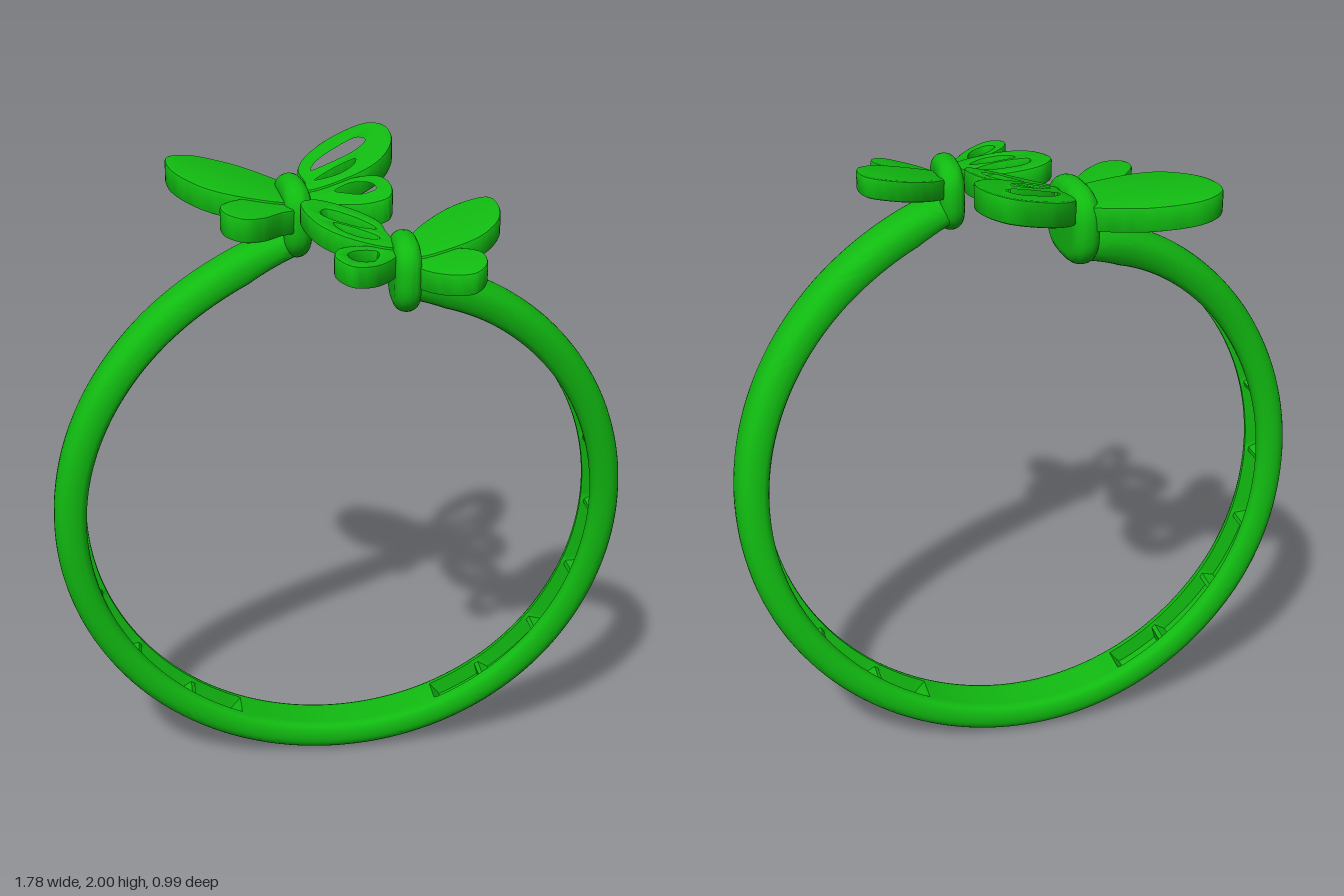
import * as THREE from 'three';
import { toCreasedNormals } from 'three/addons/utils/BufferGeometryUtils.js';

const material = new THREE.MeshStandardMaterial({ color: 0x11bb11 });

function mesh(name, geometry, crease = 0.6) {
  const m = new THREE.Mesh(toCreasedNormals(geometry, crease), material);
  m.name = name;
  return m;
}

// smooth closed outline through [x, z] pairs, laid out for extrusion along y
function outline(points) {
  const curve = new THREE.CatmullRomCurve3(points.map(([x, z]) => new THREE.Vector3(x, -z, 0)), true);
  return curve.getPoints(48).slice(0, -1).map(p => new THREE.Vector2(p.x, p.y));
}

// smooth interpolation of [angle, value] keys
function keyed(keys, a) {
  let i = 0;
  while (i < keys.length - 2 && a > keys[i + 1][0]) i++;
  const slope = k => {
    const p = keys[Math.max(k - 1, 0)], q = keys[Math.min(k + 1, keys.length - 1)];
    return k === 0 ? 0 : (q[1] - p[1]) / (q[0] - p[0]);
  };
  const [a0, v0] = keys[i], [a1, v1] = keys[i + 1], h = a1 - a0, t = (a - a0) / h;
  return v0 * (1 + 2 * t) * (1 - t) ** 2 + v1 * t * t * (3 - 2 * t)
    + h * slope(i) * t * (1 - t) ** 2 + h * slope(i + 1) * t * t * (t - 1);
}

// z drift of the two arms, by angle from the bottom of the ring
const frontArm = [[0, -0.06], [55, -0.025], [90, 0.02], [120, 0.08], [145, 0.15], [160, 0.21], [172, 0.27]];
const backArm = [[0, -0.06], [55, -0.025], [90, 0.01], [120, 0.02], [140, -0.01], [155, -0.06], [172, -0.16]];

// inner channel, interrupted by cross bars
function channelDepth(a) {
  if (a < 25 || a > 163) return 0;
  return (a - 19) % 17 < 2 ? 0.012 : 0.05;
}

// band section as [radius, z] pairs: rounded outside, channelled inside
function bandSection(a) {
  const pts = [], d = channelDepth(a), ri = 0.79 + 0.02 * Math.max(0, (a - 160) / 12);
  for (let k = 0; k <= 18; k++) {
    const t = (k / 18 - 0.5) * Math.PI, s = Math.sin(t);
    pts.push([0.83 + 0.06 * Math.pow(Math.abs(Math.cos(t)), 0.8),
      0.08 * Math.sign(s) * Math.pow(Math.abs(s), 0.8)]);
  }
  pts.push([ri + 0.018, 0.078], [ri + 0.005, 0.07], [ri, 0.058], [ri, 0.046], [ri + d, 0.043],
    [ri + d, -0.043], [ri, -0.046], [ri, -0.058], [ri + 0.005, -0.07], [ri + 0.018, -0.078]);
  return pts;
}

function createBand() {
  const pos = [], idx = [], start = -172, end = 170, rows = end - start;
  let n = 0;
  for (let deg = start; deg <= end; deg++) {
    const a = Math.abs(deg), t = deg * Math.PI / 180;
    const z0 = keyed(deg > 0 ? frontArm : backArm, a), section = bandSection(a);
    n = section.length;
    for (const [r, z] of section) pos.push(r * Math.sin(t), 0.89 - r * Math.cos(t), z0 + z);
  }
  for (let i = 0; i < rows; i++) {
    for (let j = 0; j < n; j++) {
      const k = (j + 1) % n, p = i * n, q = p + n;
      idx.push(p + j, q + j, p + k, q + j, q + k, p + k);
    }
  }
  const last = rows * n;
  for (let j = 1; j < n - 1; j++) idx.push(0, j, j + 1, last, last + j + 1, last + j);
  const g = new THREE.BufferGeometry();
  g.setAttribute('position', new THREE.Float32BufferAttribute(pos, 3));
  g.setIndex(idx);
  return mesh('band', g, 0.7);
}

// flat wing panel lying on the plane y = y0 + sx (x - x0) + sz (z - z0)
function wing(name, points, holes, thickness, { y0, x0, z0, sx, sz }, drop = 0) {
  const shape = new THREE.Shape(outline(points));
  for (const h of holes) shape.holes.push(new THREE.Path(outline(h)));
  const bevel = 0.008;
  const g = new THREE.ExtrudeGeometry(shape, {
    depth: thickness - 2 * bevel, bevelEnabled: true, bevelSize: bevel,
    bevelThickness: bevel, bevelOffset: -bevel, bevelSegments: 2,
  });
  g.translate(0, 0, bevel - thickness / 2 - drop);
  g.rotateX(-Math.PI / 2);
  const p = g.attributes.position;
  for (let i = 0; i < p.count; i++) {
    p.setY(i, p.getY(i) + y0 + sx * (p.getX(i) - x0) + sz * (p.getZ(i) - z0));
  }
  return mesh(name, g);
}

// upright, fully rounded body between the wings
function body(length, height, width, position, yaw) {
  const r = width / 2, pts = [];
  const power = v => Math.sign(v) * Math.pow(Math.abs(v), 0.75);
  for (let k = 0; k < 40; k++) {
    const t = k / 40 * Math.PI * 2;
    pts.push(new THREE.Vector2(power(Math.cos(t)) * length / 2, power(Math.sin(t)) * height / 2));
  }
  const g = new THREE.ExtrudeGeometry(new THREE.Shape(pts), {
    depth: 0.004, bevelEnabled: true, bevelSize: r, bevelThickness: r, bevelOffset: -r, bevelSegments: 6,
  });
  g.translate(0, 0, -0.002);
  g.rotateY(-Math.PI / 2);
  const m = mesh('butterflyBody', g, 0.9);
  m.position.set(...position);
  m.rotation.y = yaw;
  return m;
}

function createBackButterfly() {
  const group = new THREE.Group();
  group.name = 'backButterfly';
  const solid = { y0: 1.83, x0: -0.13, z0: -0.17, sx: -0.16, sz: -0.05 };
  const open = { y0: 1.85, x0: -0.1, z0: -0.17, sx: 0.25, sz: -0.15 };
  group.add(
    body(0.28, 0.24, 0.078, [-0.12, 1.8, -0.17], 0.07),
    wing('solidForewing', [[-0.13, -0.27], [-0.19, -0.34], [-0.28, -0.41], [-0.41, -0.45], [-0.48, -0.41],
      [-0.49, -0.32], [-0.46, -0.22], [-0.38, -0.12], [-0.27, -0.08], [-0.13, -0.09]], [], 0.075, solid),
    wing('solidHindwing', [[-0.12, -0.13], [-0.28, -0.09], [-0.35, 0], [-0.34, 0.07], [-0.29, 0.1],
      [-0.23, 0.07], [-0.17, 0], [-0.12, -0.05]], [], 0.075, solid, 0.008),
    wing('openForewing', [[-0.08, -0.19], [-0.09, -0.29], [-0.06, -0.37], [0.03, -0.46], [0.15, -0.5],
      [0.2, -0.45], [0.21, -0.33], [0.16, -0.21], [0.08, -0.15], [-0.08, -0.13]], [
      [[-0.06, -0.25], [-0.04, -0.31], [0.04, -0.38], [0.11, -0.41], [0.14, -0.37], [0.1, -0.31], [0.02, -0.27]],
      [[-0.06, -0.18], [0, -0.23], [0.09, -0.26], [0.08, -0.21], [0.02, -0.17]],
    ], 0.075, open),
    wing('openHindwing', [[-0.1, -0.14], [0.05, -0.15], [0.13, -0.12], [0.16, -0.03], [0.14, 0.05],
      [0.07, 0.05], [-0.01, 0], [-0.1, -0.06]], [
      [[-0.01, -0.09], [0.05, -0.12], [0.11, -0.08], [0.12, -0.02], [0.07, -0.01], [0.02, -0.05]],
    ], 0.075, open, 0.008),
  );
  return group;
}

function createFrontButterfly() {
  const group = new THREE.Group();
  group.name = 'frontButterfly';
  const solid = { y0: 1.78, x0: 0.17, z0: 0.28, sx: 0.22, sz: -0.13 };
  const open = { y0: 1.8, x0: 0.14, z0: 0.28, sx: -0.2, sz: -0.1 };
  group.add(
    body(0.24, 0.22, 0.072, [0.148, 1.755, 0.28], -0.04),
    wing('solidForewing', [[0.17, 0.2], [0.24, 0.11], [0.34, 0.05], [0.43, 0.05], [0.45, 0.12],
      [0.43, 0.22], [0.37, 0.29], [0.29, 0.32], [0.17, 0.32]], [], 0.065, solid),
    wing('solidHindwing', [[0.17, 0.28], [0.29, 0.31], [0.35, 0.37], [0.35, 0.45], [0.31, 0.49],
      [0.24, 0.46], [0.17, 0.37]], [], 0.065, solid, 0.008),
    wing('openForewing', [[0.11, 0.19], [0.1, 0.12], [0.03, 0.05], [-0.07, 0.02], [-0.12, 0.06],
      [-0.12, 0.14], [-0.08, 0.24], [0, 0.3], [0.12, 0.31]], [
      [[0.08, 0.18], [0.03, 0.12], [-0.05, 0.09], [-0.07, 0.13], [-0.03, 0.17], [0.03, 0.19]],
      [[0.08, 0.25], [0.03, 0.21], [-0.04, 0.19], [-0.02, 0.24], [0.04, 0.27]],
    ], 0.065, open),
    wing('openHindwing', [[0.13, 0.3], [0.03, 0.31], [-0.05, 0.36], [-0.07, 0.43], [-0.03, 0.48],
      [0.03, 0.46], [0.1, 0.38]], [
      [[0.06, 0.34], [0, 0.36], [-0.03, 0.4], [-0.01, 0.43], [0.04, 0.41]],
    ], 0.065, open, 0.008),
  );
  return group;
}

export function createModel() {
  const model = new THREE.Group();
  model.name = 'butterflyRing';
  model.add(createBand(), createBackButterfly(), createFrontButterfly());
  return model;
}
